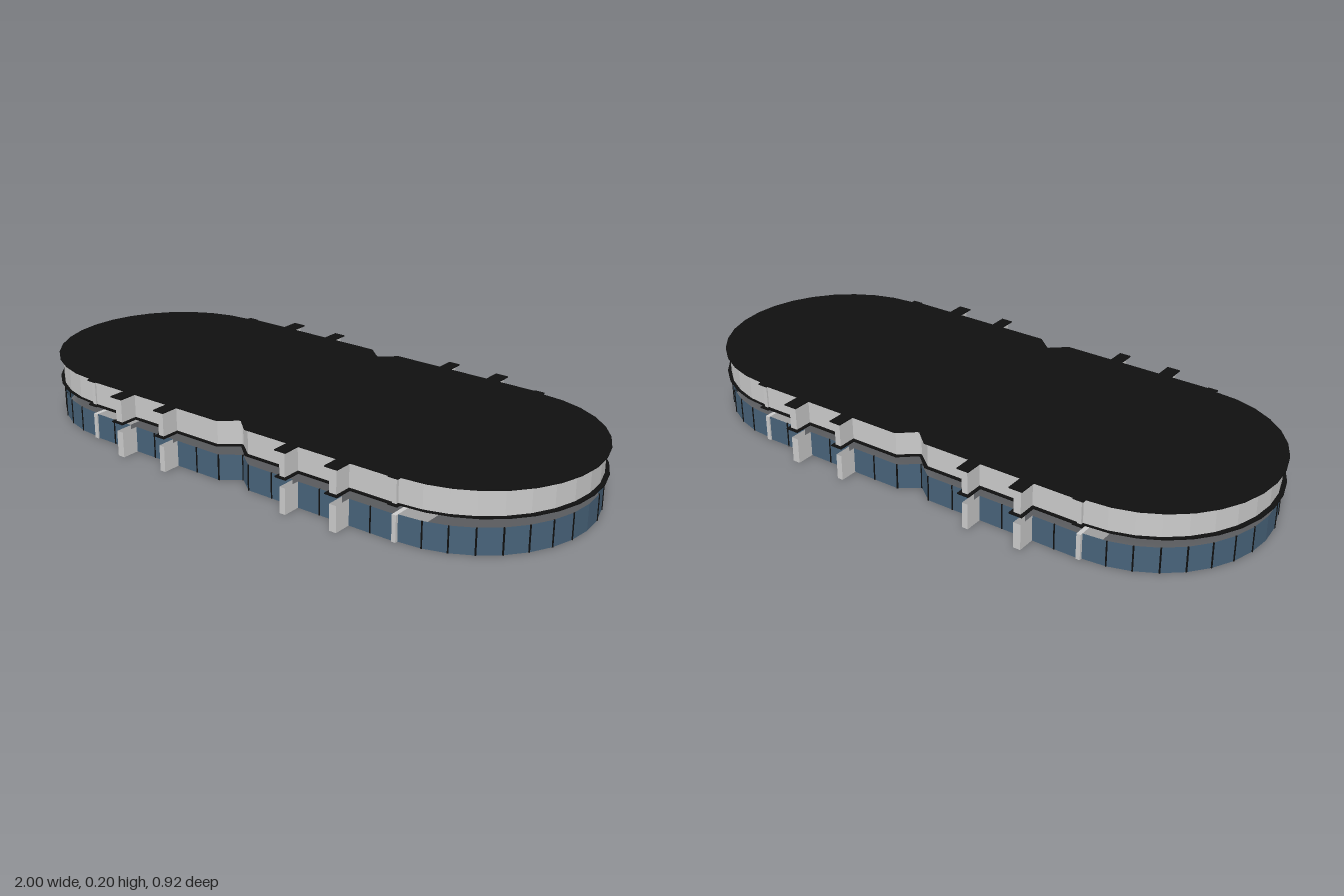
import * as THREE from 'three';

const mat = (color) => new THREE.MeshStandardMaterial({ color, side: THREE.DoubleSide, flatShading: true });

const BAND = 0.085;                                  // height of the glazed storey
const WALL = 0.39, END = 0.385, FIN = 0.45, NOTCH = 0.345, HALF = 0.6;
const FINS = [[-0.435, -0.41], [-0.25, -0.23], [0.23, 0.25], [0.41, 0.435]];

// Rotates [x, z] points half a turn, for the opposite side
const turned = (pts) => pts.map(([x, z]) => [-x, -z]);

// Half-round end on the +x side, from front to back, grown by o
function arc(o = 0) {
  const pts = [];
  for (let k = 0; k <= 16; k++) {
    const a = Math.PI * k / 16, r = END + o / 2;
    pts.push([HALF + o + r * Math.sin(a), r * Math.cos(a)]);
  }
  return pts;
}

const finPath = ([a, b], o = 0) =>
  [[a - o, WALL + o], [a - o, FIN + o], [b + o, FIN + o], [b + o, WALL + o]];

// Whole plan outline with end strips, fins and centre notch, grown by o
function outline(o = 0) {
  const w = WALL + o, s = WALL + 0.005 + o;
  const side = [
    [-HALF - o, s], [-HALF + 0.014 + o, s], [-HALF + 0.014 + o, w],
    ...finPath(FINS[0], o), ...finPath(FINS[1], o),
    [-0.06 + o / 2, w], [-0.003, NOTCH + o], [0.003, NOTCH + o], [0.06 - o / 2, w],
    ...finPath(FINS[2], o), ...finPath(FINS[3], o),
    [HALF - 0.014 - o, w], [HALF - 0.014 - o, s], [HALF + o, s],
  ];
  const half = [...side, ...arc(o)];
  return [...half, ...turned(half)];
}

// Upright thin wall that follows a plan path
function ribbon(name, pts, y0, y1, material) {
  const v = [];
  for (let i = 0; i + 1 < pts.length; i++) {
    const [ax, az] = pts[i], [bx, bz] = pts[i + 1];
    v.push(ax, y0, az, bx, y0, bz, bx, y1, bz, ax, y0, az, bx, y1, bz, ax, y1, az);
  }
  const g = new THREE.BufferGeometry();
  g.setAttribute('position', new THREE.Float32BufferAttribute(v, 3));
  g.computeVertexNormals();
  const m = new THREE.Mesh(g, material);
  m.name = name;
  return m;
}

// Thin horizontal slab with the plan outline
function slab(name, y, material) {
  const shape = new THREE.Shape(outline(0.01).map(([x, z]) => new THREE.Vector2(x, -z)));
  const g = new THREE.ExtrudeGeometry(shape, { depth: 0.004, bevelEnabled: false });
  g.rotateX(-Math.PI / 2);
  const m = new THREE.Mesh(g, material);
  m.name = name;
  m.position.y = y;
  return m;
}

export function createModel() {
  const model = new THREE.Group();
  model.name = 'building';
  const grey = mat(0xcccccc), glass = mat(0x48637a), black = mat(0x101010);

  // Upper storey: grey fascia between two dark slabs
  const plan = outline();
  model.add(ribbon('fascia', [...plan, plan[0]], 0.12, 0.2, grey));
  model.add(slab('ceilingSlab', 0.116, black), slab('roofSlab', 0.2, black));

  // Lower storey: glazing runs between the fins, and the round ends
  const runs = [
    [[-0.586, WALL], [-0.51, WALL], [-0.435, WALL]],
    [[-0.41, WALL], [-0.33, WALL], [-0.25, WALL]],
    [[-0.23, WALL], [-0.15, WALL], [-0.06, WALL], [0, NOTCH], [0.06, WALL], [0.15, WALL], [0.23, WALL]],
    [[0.25, WALL], [0.33, WALL], [0.41, WALL]],
    [[0.435, WALL], [0.51, WALL], [0.586, WALL]],
    arc(),
  ];
  const bar = new THREE.BoxGeometry(0.004, BAND, 0.004);
  for (const flip of [false, true]) {
    for (const run of runs) {
      const pts = flip ? turned(run) : run;
      model.add(ribbon('glazing', pts, 0, BAND, glass));
      // Thin mullions at the inner joints
      pts.slice(1, -1).forEach(([x, z], i) => {
        if (pts.length === 17 && i === 7) return;
        const m = new THREE.Mesh(bar, black);
        m.name = 'mullion';
        m.position.set(x, BAND / 2, z);
        model.add(m);
      });
    }
    // Hollow fins, open below
    for (const f of FINS) {
      const pts = finPath(f);
      model.add(ribbon('fin', flip ? turned(pts) : pts, 0, BAND, grey));
    }
  }

  // Cross walls where the straight middle meets the round ends
  for (const s of [-1, 1]) {
    const wall = new THREE.Mesh(new THREE.BoxGeometry(0.014, BAND, 2 * (WALL + 0.005)), grey);
    wall.name = 'crossWall';
    wall.position.set(s * (HALF - 0.007), BAND / 2, 0);
    model.add(wall);
  }
  return model;
}
